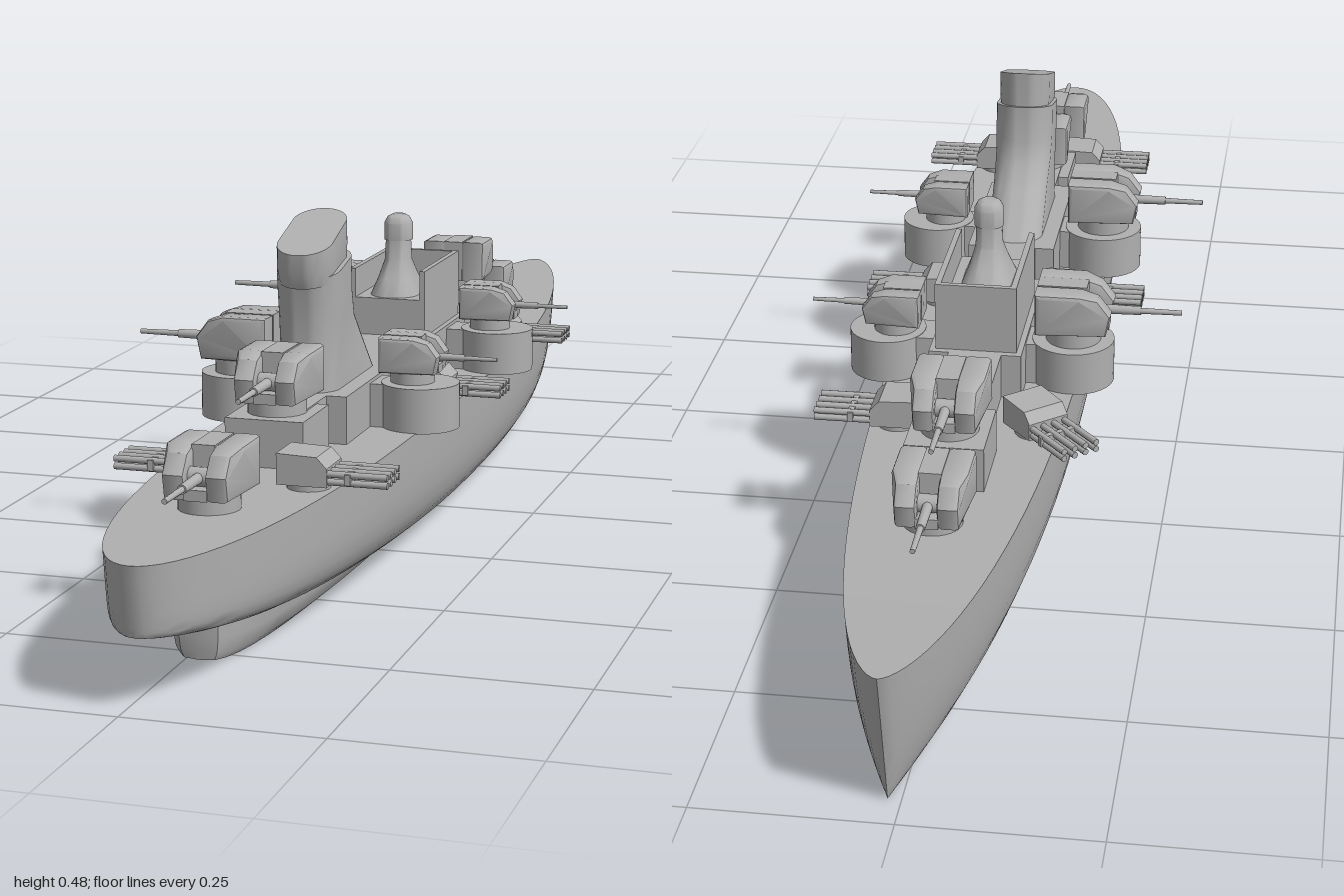
import * as THREE from 'three';
import { toCreasedNormals } from 'three/addons/utils/BufferGeometryUtils.js';

const grey = new THREE.MeshStandardMaterial({ color: 0xb0b0b0 });
grey.name = 'ship grey';
const CX = 0.017; // centreline of the hull

function add(parent, name, geo, x = 0, y = 0, z = 0) {
  const m = new THREE.Mesh(geo, grey);
  m.name = name;
  m.position.set(x, y, z);
  parent.add(m);
  return m;
}

// Skin stacked rings (bottom to top); each ring is mirrored about its first point
function loft(rings, crease = 0.6) {
  const n = rings[0].length, pos = [], idx = [];
  rings.forEach(r => r.forEach(p => pos.push(...p)));
  for (let k = 0; k < rings.length - 1; k++) {
    for (let i = 0; i < n; i++) {
      const a = k * n + i, b = k * n + (i + 1) % n;
      idx.push(a, a + n, b, b, a + n, b + n);
    }
  }
  const top = (rings.length - 1) * n;
  for (let i = 0; i < n / 2; i++) {
    const p = i, p1 = i + 1, q = (n - i) % n, q1 = n - i - 1;
    idx.push(p, p1, q, p1, q1, q);
    idx.push(top + p, top + q, top + p1, top + p1, top + q, top + q1);
  }
  const g = new THREE.BufferGeometry();
  g.setAttribute('position', new THREE.Float32BufferAttribute(pos, 3));
  g.setIndex(idx);
  return toCreasedNormals(g, crease);
}

function ring(n, f) {
  return Array.from({ length: n }, (_, i) => f(-Math.PI / 2 + i / n * Math.PI * 2));
}

// Round-ended plan outline, optionally sloping along z
function stadium(y, z0, z1, hw, slope = 0) {
  return ring(32, a => {
    const s = Math.sin(a);
    const z = (s < -1e-6 ? z0 + hw : z1 - hw) + hw * s;
    return [hw * Math.cos(a), y + slope * ((z0 + z1) / 2 - z), z];
  });
}

// Hull outline at height fraction t between keel and deck
function hullRing(t) {
  return ring(96, a => {
    const z = Math.sin(a), aft = Math.max(0, z), fore = Math.max(0, -z);
    const half = 0.138 * (z > 0 ? Math.sqrt(Math.max(0, 1 - z ** 3)) : Math.max(0, 1 - fore ** 2.2) ** 0.6);
    const n = 4 + 6 * aft ** 4 - 1.4 * fore ** 2;
    const f = (1 - (1 - t) ** n) ** (1 / n);
    const keel = 0.09 * aft ** 1.7;
    const deck = 0.18 + 0.02 * fore ** 4;
    const rake = 1 - (z > 0 ? 0.015 : 0.05) * (1 - t);
    return [Math.sign(Math.cos(a)) * half * f, keel + (deck - keel) * t, z * rake];
  });
}

// Gun house with two cheeks, a slot and one barrel along +z
function turret(parent, name, x, y, z, angle, scale = 1) {
  const g = new THREE.Group();
  g.name = name;
  g.position.set(x, y, z);
  g.rotation.y = angle;
  g.scale.setScalar(scale);
  parent.add(g);
  const b = 0.006;
  const side = new THREE.Shape([[-0.044, b], [0.044, b], [0.049, 0.03], [0.034, 0.05], [0.012, 0.057], [-0.044, 0.057]]
    .map(p => new THREE.Vector2(...p)));
  for (const s of [-1, 1]) {
    const geo = new THREE.ExtrudeGeometry(side, { depth: 0.025, bevelSize: b, bevelThickness: b, bevelSegments: 2 });
    geo.rotateY(-Math.PI / 2).translate(0.0125 + s * 0.0315, 0, 0);
    const p = geo.attributes.position;
    for (let i = 0; i < p.count; i++) { // taper the outer front corners
      if (Math.abs(p.getX(i)) > 0.035 && p.getZ(i) > 0.025) p.setX(i, p.getX(i) * 0.84);
    }
    add(g, 'turretCheek', toCreasedNormals(geo, 0.5));
  }
  add(g, 'turretCore', new THREE.BoxGeometry(0.03, 0.063, 0.07), 0, 0.0315, -0.015);
  add(g, 'slotSill', new THREE.BoxGeometry(0.03, 0.014, 0.034), 0, 0.007, 0.034);
  add(g, 'mantlet', new THREE.CylinderGeometry(0.012, 0.012, 0.026, 16).rotateZ(Math.PI / 2), 0, 0.026, 0.03);
  add(g, 'barrelSleeve', new THREE.CylinderGeometry(0.006, 0.007, 0.06, 16).rotateX(Math.PI / 2), 0, 0.026, 0.065);
  add(g, 'barrel', new THREE.CylinderGeometry(0.0035, 0.0045, 0.08, 12).rotateX(Math.PI / 2), 0, 0.026, 0.112);
  add(g, 'turretRing', new THREE.CylinderGeometry(0.039, 0.039, 0.022, 32), 0, -0.011, 0);
}

// Deck mount with two rows of four tubes along +z
function multiMount(parent, x, z, angle) {
  const g = new THREE.Group();
  g.name = 'multiBarrelMount';
  g.position.set(x, 0.18, z);
  g.rotation.y = angle;
  parent.add(g);
  add(g, 'mountBase', new THREE.CylinderGeometry(0.028, 0.028, 0.012, 24), 0, 0.006, 0);
  const side = new THREE.Shape([[-0.033, 0.008], [0.033, 0.008], [0.033, 0.032], [0.02, 0.046], [-0.033, 0.048]]
    .map(p => new THREE.Vector2(...p)));
  const house = new THREE.ExtrudeGeometry(side, { depth: 0.062, bevelEnabled: false });
  add(g, 'mountHouse', house.rotateY(-Math.PI / 2).translate(0.031, 0, 0));
  for (let i = 0; i < 4; i++) {
    for (const y of [0.015, 0.025]) {
      add(g, 'tube', new THREE.CylinderGeometry(0.0045, 0.0045, 0.085, 10).rotateX(Math.PI / 2), (i - 1.5) * 0.017, y, 0.068);
    }
  }
  add(g, 'tubeBrace', new THREE.BoxGeometry(0.064, 0.014, 0.008), 0, 0.02, 0.06);
}

export function createModel() {
  const ship = new THREE.Group();
  ship.name = 'warship';
  const Q = Math.PI / 2;
  const box = (name, w, y0, y1, z0, z1, x = CX) =>
    add(ship, name, new THREE.BoxGeometry(w, y1 - y0, z1 - z0), x, (y0 + y1) / 2, (z0 + z1) / 2);

  // Hull and the lower keel body that stops short of the stern
  add(ship, 'hull', loft([0, 0.004, 0.015, 0.04, 0.08, 0.14, 0.22, 0.32, 0.45, 0.6, 0.8, 1].map(hullRing)), CX);
  const keelRing = (y, s) => ring(48, a => [
    Math.sign(Math.cos(a)) * 0.09 * s * Math.abs(Math.cos(a)) ** 0.6, y, 0.2 + 0.585 * Math.sin(a) * (0.98 + 0.02 * s)]);
  add(ship, 'keelBody', loft([keelRing(0.001, 0.75), keelRing(0.01, 0.88), keelRing(0.03, 0.96), keelRing(0.08, 1)]), CX);

  // Deckhouse: spine, wide blocks and arms out to the gun platforms
  box('deckhouseSpine', 0.074, 0.175, 0.245, -0.46, 0.48);
  box('foreDeckhouse', 0.13, 0.175, 0.245, -0.24, 0.02);
  box('aftDeckhouse', 0.13, 0.175, 0.245, 0.13, 0.38);
  box('foreGunHouse', 0.106, 0.175, 0.243, -0.515, -0.4);
  box('aftGunHouse', 0.106, 0.175, 0.243, 0.42, 0.53);

  // Centreline turrets
  turret(ship, 'foreLowerTurret', CX, 0.2, -0.603, Math.PI);
  turret(ship, 'foreUpperTurret', CX, 0.262, -0.46, Math.PI);
  turret(ship, 'aftLowerTurret', CX, 0.2, 0.735, 0);
  turret(ship, 'aftUpperTurret', CX, 0.262, 0.475, 0);

  // Side turrets on round platforms
  for (const z of [-0.16, 0.24]) {
    box('platformArm', 0.25, 0.175, 0.24, z - 0.03, z + 0.03, 0.02);
    for (const [x, r] of [[-0.112, 0.058], [z < 0 ? 0.153 : 0.145, 0.054]]) {
      add(ship, 'gunPlatform', new THREE.CylinderGeometry(r, r, 0.062, 40), x, 0.21, z);
    }
    turret(ship, 'rightSideTurret', -0.112, 0.262, z, -Q);
    turret(ship, 'leftSideTurret', z < 0 ? 0.142 : 0.134, 0.257, z, Q, 0.78);
  }

  // Multi-barrel mounts along the deck edge
  multiMount(ship, 0.112, 0.07, Q);
  multiMount(ship, -0.079, 0.07, -Q);
  multiMount(ship, 0.102, 0.605, Q);
  multiMount(ship, -0.038, 0.605, -Q);
  multiMount(ship, 0.11, -0.335, Q);
  multiMount(ship, -0.08, -0.335, -Q * 1.55);

  // Bridge: open-topped block with a director tower rising at the back
  box('bridgeFloor', 0.114, 0.24, 0.3, -0.23, -0.035);
  box('bridgeFrontWall', 0.114, 0.3, 0.343, -0.23, -0.222);
  for (const s of [-1, 1]) box('bridgeSideWall', 0.008, 0.3, 0.343, -0.222, -0.035, CX + s * 0.053);
  add(ship, 'directorTower', loft([
    stadium(0.28, -0.17, -0.035, 0.045), stadium(0.3, -0.155, -0.04, 0.036), stadium(0.325, -0.135, -0.055, 0.026),
    stadium(0.35, -0.118, -0.07, 0.019), stadium(0.385, -0.115, -0.075, 0.018)]), CX);
  add(ship, 'directorHead', loft([
    stadium(0.38, -0.117, -0.073, 0.021), stadium(0.405, -0.117, -0.073, 0.021),
    stadium(0.414, -0.112, -0.078, 0.016), stadium(0.418, -0.105, -0.085, 0.009)]), CX);

  // Funnel with a sloping uptake ahead of it and a slanted cap
  add(ship, 'funnel', loft([
    stadium(0.24, 0.14, 0.375, 0.042), stadium(0.27, 0.17, 0.373, 0.042), stadium(0.305, 0.205, 0.371, 0.042),
    stadium(0.335, 0.235, 0.372, 0.043), stadium(0.37, 0.247, 0.375, 0.044), stadium(0.412, 0.25, 0.38, 0.044, 0.2)]), CX);
  add(ship, 'funnelCap', loft([
    stadium(0.4, 0.257, 0.383, 0.037, 0.2), stadium(0.425, 0.257, 0.39, 0.039, 0.3),
    stadium(0.456, 0.256, 0.392, 0.038, 0.32)]), CX);
  return ship;
}
